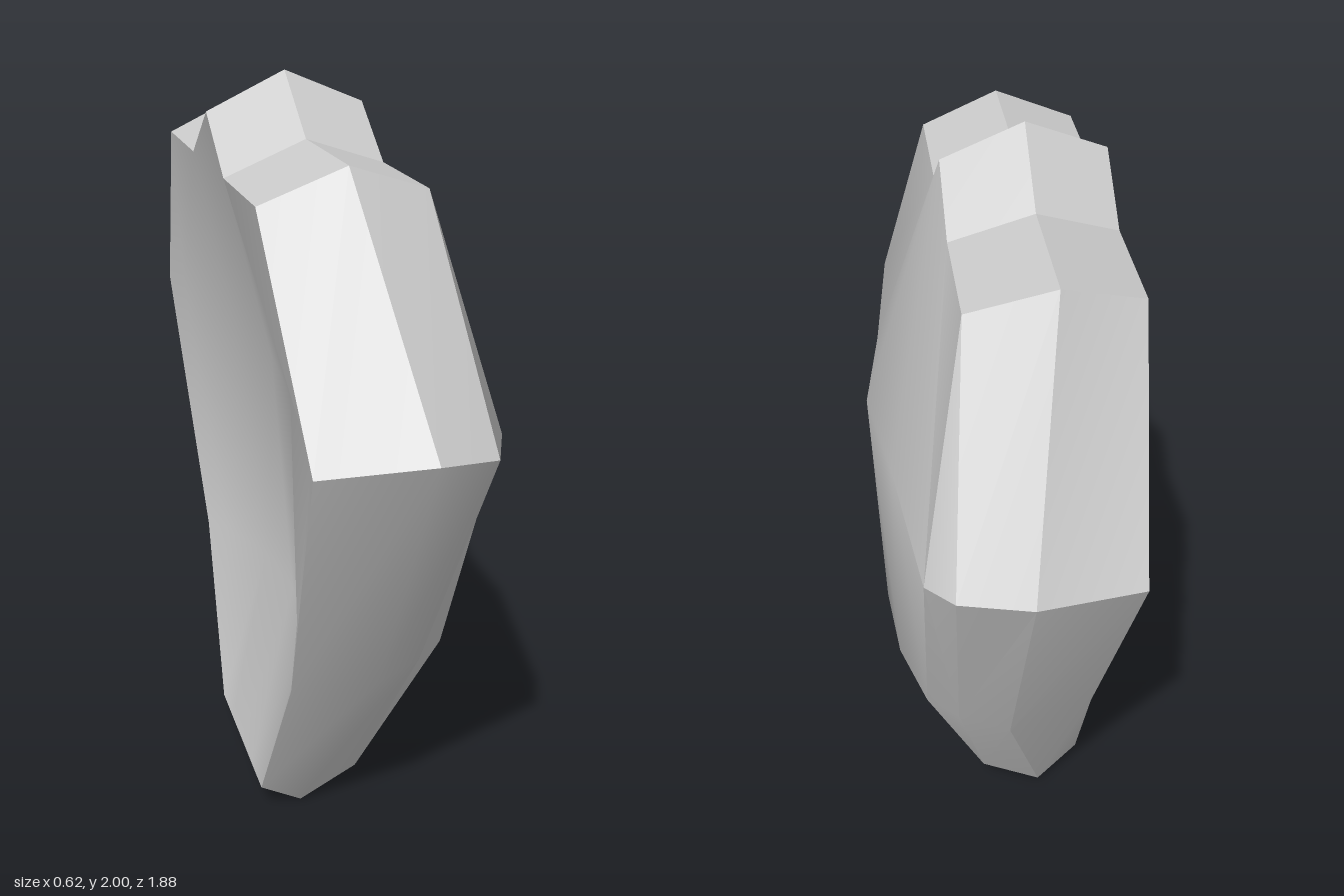
import * as THREE from 'three';
import { toCreasedNormals } from 'three/addons/utils/BufferGeometryUtils.js';

const V = (x, y, z) => new THREE.Vector3(x, y, z);

// Half outlines (+z side): peak, notch, shoulder, widest point, lower side, bottom corner
const half = {
  front: [[0.105, 1.915, 0], [0.105, 1.79, 0.185], [0.105, 1.79, 0.522], [0.155, 1.26, 0.867], [0.12, 0.55, 0.50], [0.025, 0.075, 0.25]],
  middle: [[-0.10, 2, 0], [-0.10, 1.86, 0.205], [-0.10, 1.86, 0.565], [-0.01, 1.29, 0.94], [-0.01, 0.54, 0.56], [-0.14, 0, 0.26]],
  back: [[-0.31, 1.91, 0], [-0.31, 1.78, 0.19], [-0.31, 1.78, 0.522], [-0.27, 1.26, 0.868], [-0.24, 0.55, 0.52], [-0.26, 0.08, 0.25]],
};

// Place one half-outline point on either side, with the slight sideways drift of its ring
const place = (p, side, drift) => V(p[0], p[1], side * p[2] + (p[2] > 0.8 ? 0 : drift));

// Closed ring: down the +z side, back up the -z side
function ring(points, drift) {
  const left = points.map(p => place(p, 1, drift));
  const right = points.slice(1).reverse().map(p => place(p, -1, drift));
  return [...left, ...right];
}

function fromTriangles(tris, crease) {
  const pos = [];
  for (const [a, b, c] of tris) {
    if (a.distanceTo(b) < 1e-6 || b.distanceTo(c) < 1e-6 || c.distanceTo(a) < 1e-6) continue;
    pos.push(...a.toArray(), ...b.toArray(), ...c.toArray());
  }
  const g = new THREE.BufferGeometry();
  g.setAttribute('position', new THREE.Float32BufferAttribute(pos, 3));
  return toCreasedNormals(g, crease);
}

// Bands joining successive rings
function rim(...rings) {
  const tris = [];
  for (let k = 0; k + 1 < rings.length; k++) {
    const a = rings[k], b = rings[k + 1];
    a.forEach((p, i) => {
      const j = (i + 1) % a.length;
      tris.push([p, b[i], b[j]], [p, b[j], a[j]]);
    });
  }
  return fromTriangles(tris, 0.55);
}

// Curved panel filling a rim; chest and waist are the inner points from the centre
// outwards, each row with its own sideways drift
function panel(outline, drift, chest, chestDrift, waist, flip) {
  const [peak, notch, shoulder, wide, low, bottom] = outline;
  const bottomAt = k => [bottom[0], bottom[1], bottom[2] * k];
  const row = (inner, innerDrift, edge) => [
    place(edge, 1, drift),
    ...inner.slice(1).reverse().map(p => place(p, 1, innerDrift)),
    ...inner.map(p => place(p, -1, innerDrift)),
    place(edge, -1, drift),
  ];
  const rows = [
    row([peak, notch, shoulder], drift, shoulder),
    row(chest, chestDrift, wide),
    row(waist, drift, low),
    row([bottomAt(0), bottomAt(0.5), bottom], drift, bottom),
  ];
  const tris = [];
  for (let r = 0; r < 3; r++) {
    for (let c = 0; c < 6; c++) {
      const a = rows[r][c], d = rows[r][c + 1];
      const b = rows[r + 1][c], e = rows[r + 1][c + 1];
      // mirror the diagonals about the centre line
      if (c < 3) tris.push([a, b, d], [b, e, d]);
      else tris.push([a, b, e], [a, e, d]);
    }
  }
  return fromTriangles(flip ? tris.map(([a, b, c]) => [a, c, b]) : tris, 0.75);
}

export function createModel() {
  const group = new THREE.Group();
  group.name = 'shield';
  const grey = new THREE.MeshStandardMaterial({ color: 0xcccccc });
  grey.name = 'plain grey';
  const add = (name, geometry) => {
    const mesh = new THREE.Mesh(geometry, grey);
    mesh.name = name;
    group.add(mesh);
  };

  // Bevelled rim
  add('rim', rim(ring(half.front, -0.015), ring(half.middle, -0.012), ring(half.back, 0.025)));

  // Domed outer face
  add('outerFace', panel(half.front, -0.015,
    [[0.31, 1.26, 0], [0.265, 1.26, 0.32], [0.22, 1.26, 0.76]], -0.04,
    [[0.28, 0.56, 0], [0.26, 0.56, 0.24], [0.20, 0.56, 0.44]], false));

  // Dished inner face
  add('innerFace', panel(half.back, 0.025,
    [[-0.15, 1.26, 0], [-0.18, 1.26, 0.32], [-0.245, 1.26, 0.75]], 0.01,
    [[-0.10, 0.56, 0], [-0.12, 0.56, 0.24], [-0.20, 0.56, 0.44]], true));

  return group;
}
